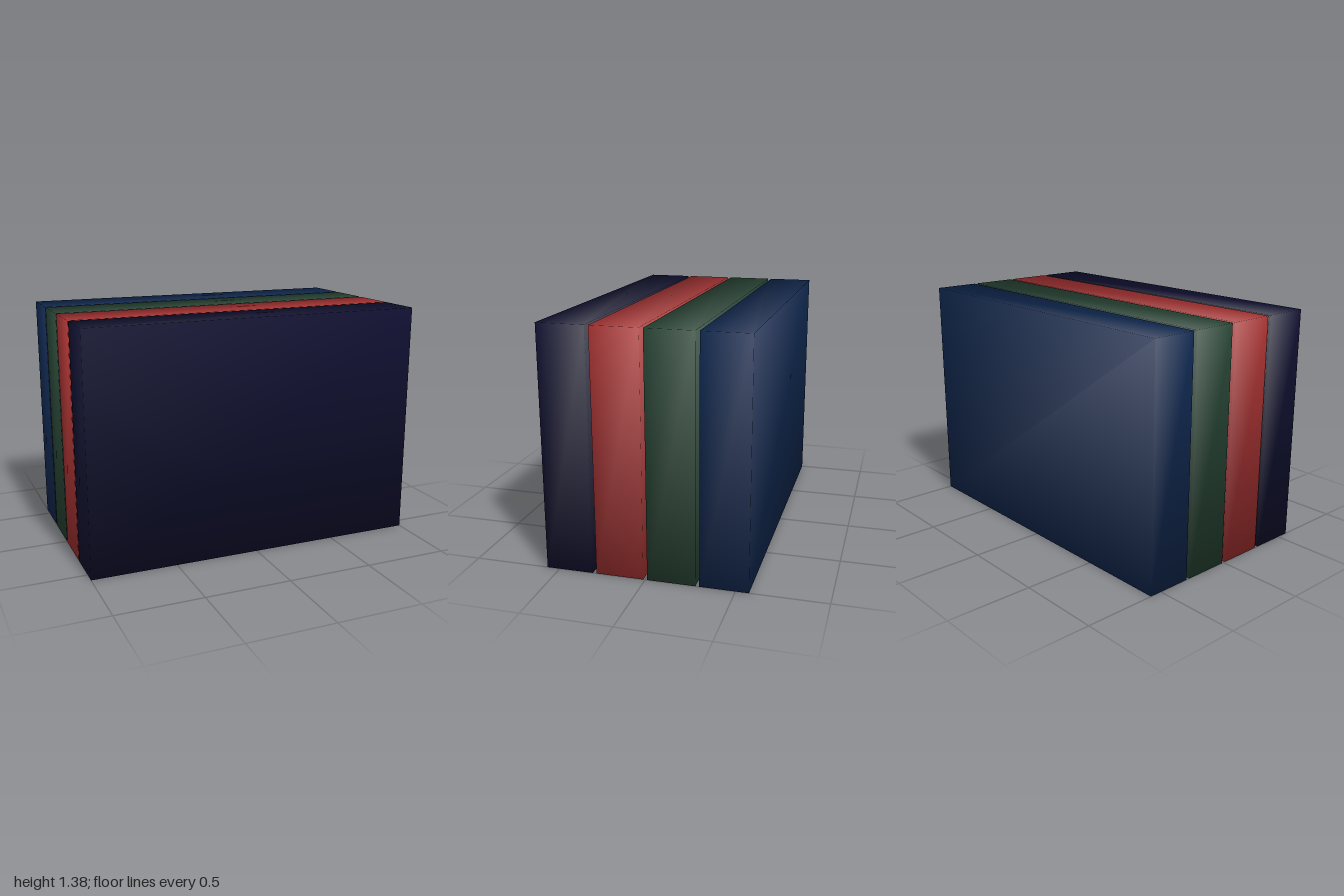
import * as THREE from 'three';

const WIDTH = 2, HEIGHT = 1.385, DEPTH = 0.27, PITCH = 0.292;

// Box whose normals are averaged at each corner, for soft shading
function softBox(w, h, d) {
  const geometry = new THREE.BoxGeometry(w, h, d);
  const { position, normal } = geometry.attributes;
  const v = new THREE.Vector3();
  for (let i = 0; i < position.count; i++) {
    v.fromBufferAttribute(position, i);
    v.set(Math.sign(v.x), Math.sign(v.y), Math.sign(v.z)).normalize();
    normal.setXYZ(i, v.x, v.y, v.z);
  }
  return geometry;
}

export function createModel() {
  const group = new THREE.Group();
  group.name = 'slabStack';
  const geometry = softBox(WIDTH, HEIGHT, DEPTH);

  // Four upright slabs, from front to back, with narrow gaps
  const slabs = [
    ['navy', 0x0f0f30],
    ['red', 0xa83232],
    ['green', 0x274434],
    ['blue', 0x0f2850],
  ];
  slabs.forEach(([name, color], i) => {
    const material = new THREE.MeshStandardMaterial({ color });
    material.name = name;
    const slab = new THREE.Mesh(geometry, material);
    slab.name = name + 'Slab';
    slab.position.set(0, HEIGHT / 2, (1.5 - i) * PITCH);
    group.add(slab);
  });
  return group;
}
